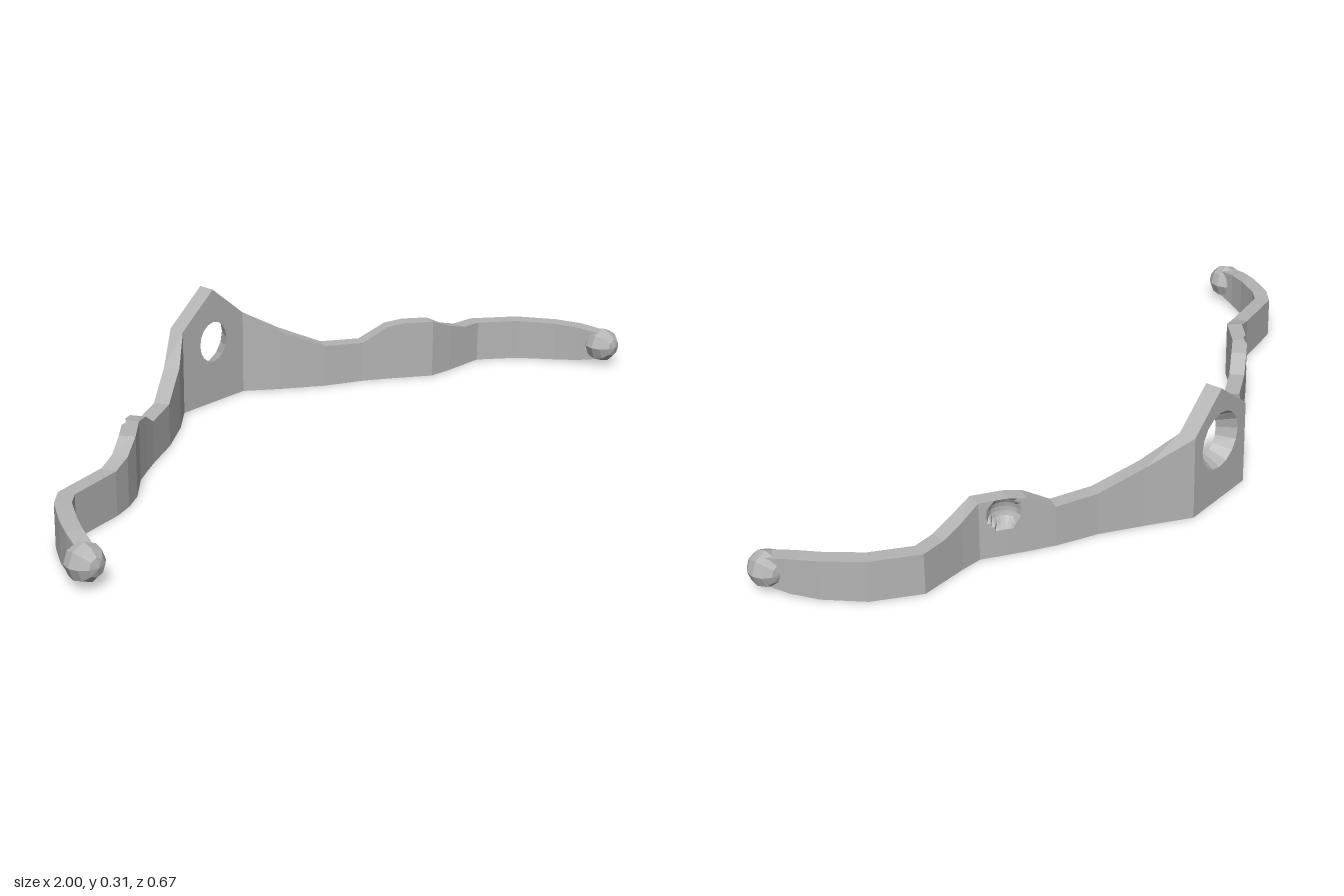
import * as THREE from 'three';

const HALF = 0.02; // half thickness of the band
const ROWS = 14;   // rows on the rear face, fine enough for the screw pocket

// Arm stations from centre to tip: [|x|, z, bottom, top]
const LEFT = [
  [0.11, -0.31, 0, 0.225], [0.2, -0.242, 0, 0.165], [0.3, -0.172, 0, 0.115], [0.4, -0.122, 0, 0.11],
  [0.46, -0.083, 0, 0.15], [0.5, -0.055, 0, 0.158], [0.56, -0.012, 0, 0.157], [0.62, -0.006, 0, 0.13],
  [0.68, -0.004, 0, 0.112], [0.745, -0.002, 0, 0.11], [0.84, 0.075, 0, 0.11], [0.9, 0.165, 0.002, 0.108],
  [0.93, 0.23, 0.008, 0.104], [0.951, 0.287, 0.02, 0.094],
];
const RIGHT = [
  [0.11, -0.31, 0, 0.225], [0.2, -0.235, 0, 0.165], [0.3, -0.168, 0, 0.112], [0.4, -0.118, 0, 0.11],
  [0.45, -0.09, 0, 0.145], [0.5, -0.06, 0, 0.155], [0.57, 0.005, 0, 0.155], [0.62, 0.033, 0, 0.127],
  [0.67, 0.05, 0, 0.113], [0.82, 0.075, 0, 0.11], [0.86, 0.11, 0, 0.11], [0.905, 0.18, 0.002, 0.108],
  [0.93, 0.23, 0.008, 0.104], [0.951, 0.287, 0.02, 0.094],
];

// Mitred rear-pointing offset at each station
function offsets(path) {
  const dir = (a, b) => new THREE.Vector2(b[0] - a[0], b[1] - a[1]).normalize();
  return path.map((p, i) => {
    const a = i ? dir(path[i - 1], p) : new THREE.Vector2(1, 0);
    const b = i < path.length - 1 ? dir(p, path[i + 1]) : a;
    if (i === 0) return new THREE.Vector2(0, -0.023);
    const t = a.clone().add(b).normalize();
    return new THREE.Vector2(t.y, -t.x).multiplyScalar(HALF / t.dot(a));
  });
}

// Band swept along the stations, with a round pocket pressed into the rear face
function armGeometry(path, side) {
  const off = offsets(path), stations = [];
  path.forEach((p, i) => {
    stations.push([...p, off[i].x, off[i].y]);
    const q = path[i + 1];
    if (!q) return;
    const n = p[0] > 0.44 && q[0] < 0.6 ? 7 : 1;
    for (let k = 1; k < n; k++) {
      const t = k / n, m = THREE.MathUtils.lerp;
      stations.push([...p.map((v, j) => m(v, q[j], t)), m(off[i].x, off[i + 1].x, t), m(off[i].y, off[i + 1].y, t)]);
    }
  });
  const pos = [], idx = [], ring = ROWS + 2;
  for (const [x, z, y0, y1, ox, oz] of stations) {
    pos.push(side * (x - ox), y0, z - oz, side * (x - ox), y1, z - oz);
    for (let r = 0; r < ROWS; r++) {
      const y = THREE.MathUtils.lerp(y1, y0, r / (ROWS - 1));
      const d = Math.hypot((x - 0.505) * 1.2, y - 0.117) / 0.04;
      const k = d < 1 ? 1 - 1.5 * Math.sqrt(1 - d * d) : 1;
      pos.push(side * (x + ox * k), y, z + oz * k);
    }
  }
  for (let i = 0; i < stations.length - 1; i++) {
    for (let j = 0; j < ring; j++) {
      const a = i * ring + j, d = i * ring + (j + 1) % ring, b = a + ring, c = d + ring;
      if (side > 0) idx.push(a, b, c, a, c, d);
      else idx.push(a, c, b, a, d, c);
    }
  }
  const g = new THREE.BufferGeometry();
  g.setAttribute('position', new THREE.Float32BufferAttribute(pos, 3));
  g.setIndex(idx);
  const flat = g.toNonIndexed();
  flat.computeVertexNormals();
  return flat;
}

// Peaked centre plate whose hole widens toward the rear
function plateGeometry() {
  const s = new THREE.Shape([[-0.11, 0], [0.11, 0], [0.11, 0.225], [0, 0.315], [-0.11, 0.225]]
    .map(([x, y]) => new THREE.Vector2(x, y)));
  const hole = new THREE.Path();
  hole.absellipse(0, 0.17, 0.048, 0.055, 0, Math.PI * 2, true);
  s.holes.push(hole);
  const g = new THREE.ExtrudeGeometry(s, { depth: 0.046, bevelEnabled: false, curveSegments: 8 });
  const p = g.attributes.position;
  for (let i = 0; i < p.count; i++) {
    const x = p.getX(i), y = p.getY(i) - 0.17;
    if (p.getZ(i) < 0.01 && Math.hypot(x, y) < 0.06) p.setXY(i, x * 1.6, 0.17 + y * 1.4);
  }
  g.translate(0, 0, -0.333);
  g.computeVertexNormals();
  return g;
}

export function createModel() {
  const model = new THREE.Group();
  model.name = 'bracket';
  const grey = new THREE.MeshStandardMaterial({ color: 0xb4b4b4, flatShading: true });
  grey.name = 'grey';
  const add = (name, geometry) => {
    const m = new THREE.Mesh(geometry, grey);
    m.name = name;
    model.add(m);
    return m;
  };

  add('centrePlate', plateGeometry());
  add('leftArm', armGeometry(LEFT, 1));
  add('rightArm', armGeometry(RIGHT, -1));

  // Faceted knobs on the arm tips
  for (const [name, side] of [['leftKnob', 1], ['rightKnob', -1]]) {
    const knob = add(name, new THREE.SphereGeometry(0.047, 8, 6));
    knob.rotation.x = Math.PI / 2;
    knob.position.set(side * 0.953, 0.057, 0.288);
  }
  return model;
}
